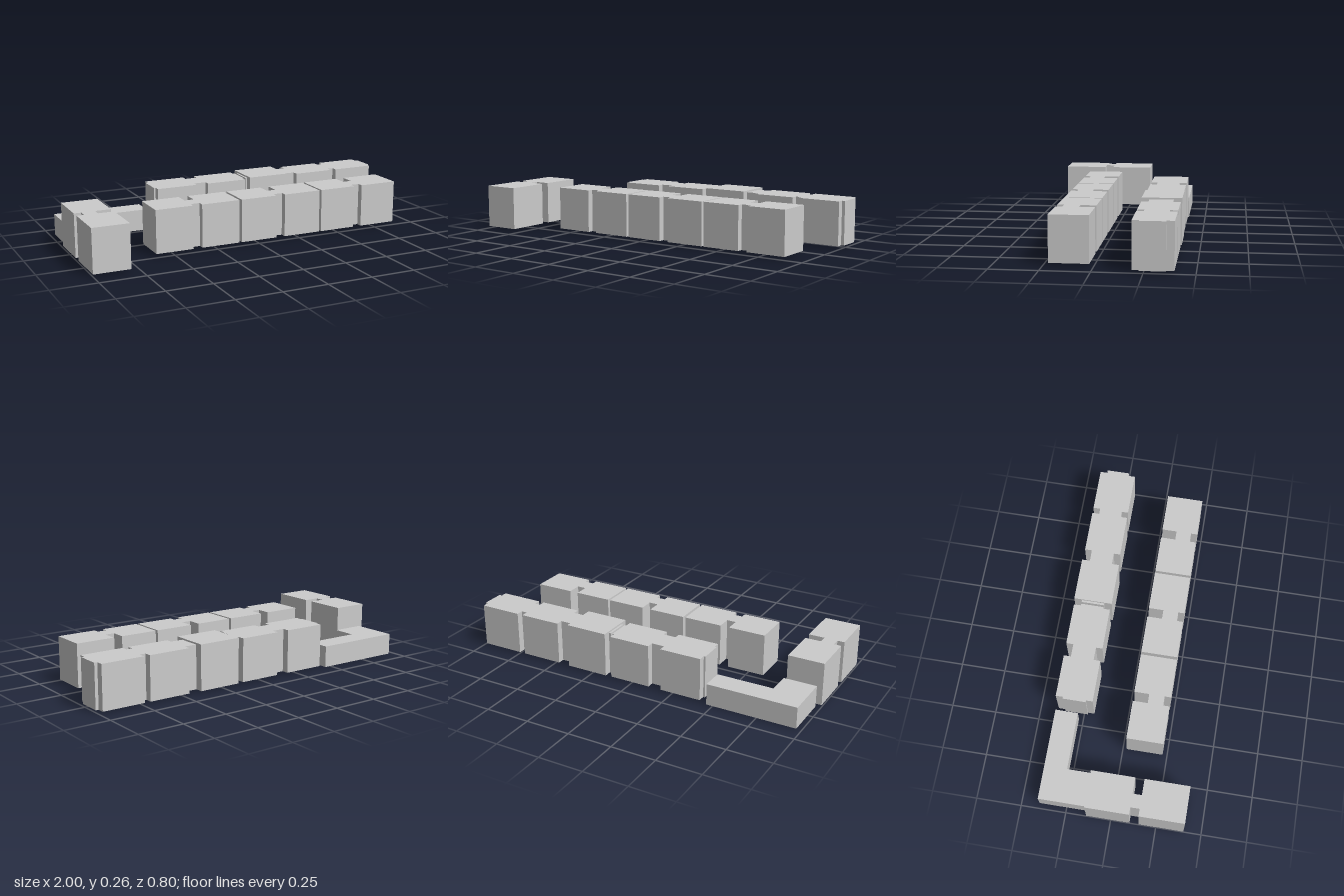
import * as THREE from 'three';

const BASE = 0.012, TOP = 0.253;
const material = new THREE.MeshStandardMaterial({ color: 0xcccccc, flatShading: true });

// Extrudes a plan outline of [x, z] points upwards from y0 to y1
function prism(name, points, y0, y1) {
  const shape = new THREE.Shape(points.map(([x, z]) => new THREE.Vector2(x, -z)));
  const geometry = new THREE.ExtrudeGeometry(shape, { depth: y1 - y0, bevelEnabled: false });
  geometry.rotateX(-Math.PI / 2).translate(0, y0, 0);
  const mesh = new THREE.Mesh(geometry, material);
  mesh.name = name;
  return mesh;
}

// Stepped outline along x: each step is [x0, x1, zBack, zFront], touching the next
function stepped(steps) {
  const front = steps.flatMap(([a, b, , f]) => [[a, f], [b, f]]);
  const back = steps.flatMap(([a, b, k]) => [[a, k], [b, k]]).reverse();
  return [...front, ...back];
}

export function createModel() {
  const group = new THREE.Group();
  group.name = 'buildingBlocks';

  // Front row: three identical pairs of blocks joined by a narrow link
  [-0.595, -0.095, 0.403].forEach((x, i) => {
    group.add(prism(`frontBuilding${i + 1}`, stepped([
      [x, x + 0.213, 0.022, 0.225],
      [x + 0.213, x + 0.265, 0.105, 0.19],
      [x + 0.265, x + 0.485, 0.022, 0.225],
    ]), BASE, TOP));
  });

  // Back row: wide blocks alternating with links, and a shallow tab at each end
  const wide = [-0.398, -0.193], link = [-0.358, -0.23];
  const backRow = (name, xs) => group.add(prism(name, stepped(
    xs.slice(1).map((x, i) => [xs[i], x, ...(i % 2 ? wide : link)])
  ), BASE, TOP));
  backRow('backBuildingTwo', [-0.432, -0.422, -0.185, -0.112, 0.124, 0.134]);
  backRow('backBuildingThree', [0.145, 0.159, 0.398, 0.47, 0.708, 0.742, 0.983, 1]);

  // Slightly larger block over the first block of the longer back building
  group.add(prism('raisedBlock', stepped([[0.157, 0.4, -0.402, -0.188]]), BASE, 0.262));

  // Side pair, running along z
  const side = stepped([
    [-0.135, 0.105, -1, -0.798],
    [0.105, 0.155, -0.96, -0.886],
    [0.155, 0.402, -1, -0.798],
  ]).map(([z, x]) => [x, z]);
  group.add(prism('sideBuilding', side, BASE, TOP));

  // Low L-shaped corner building
  group.add(prism('cornerBuilding', [
    [-0.97, -0.402], [-0.97, -0.142], [-0.784, -0.142],
    [-0.784, -0.275], [-0.463, -0.275], [-0.463, -0.402],
  ], 0, 0.12));

  return group;
}
